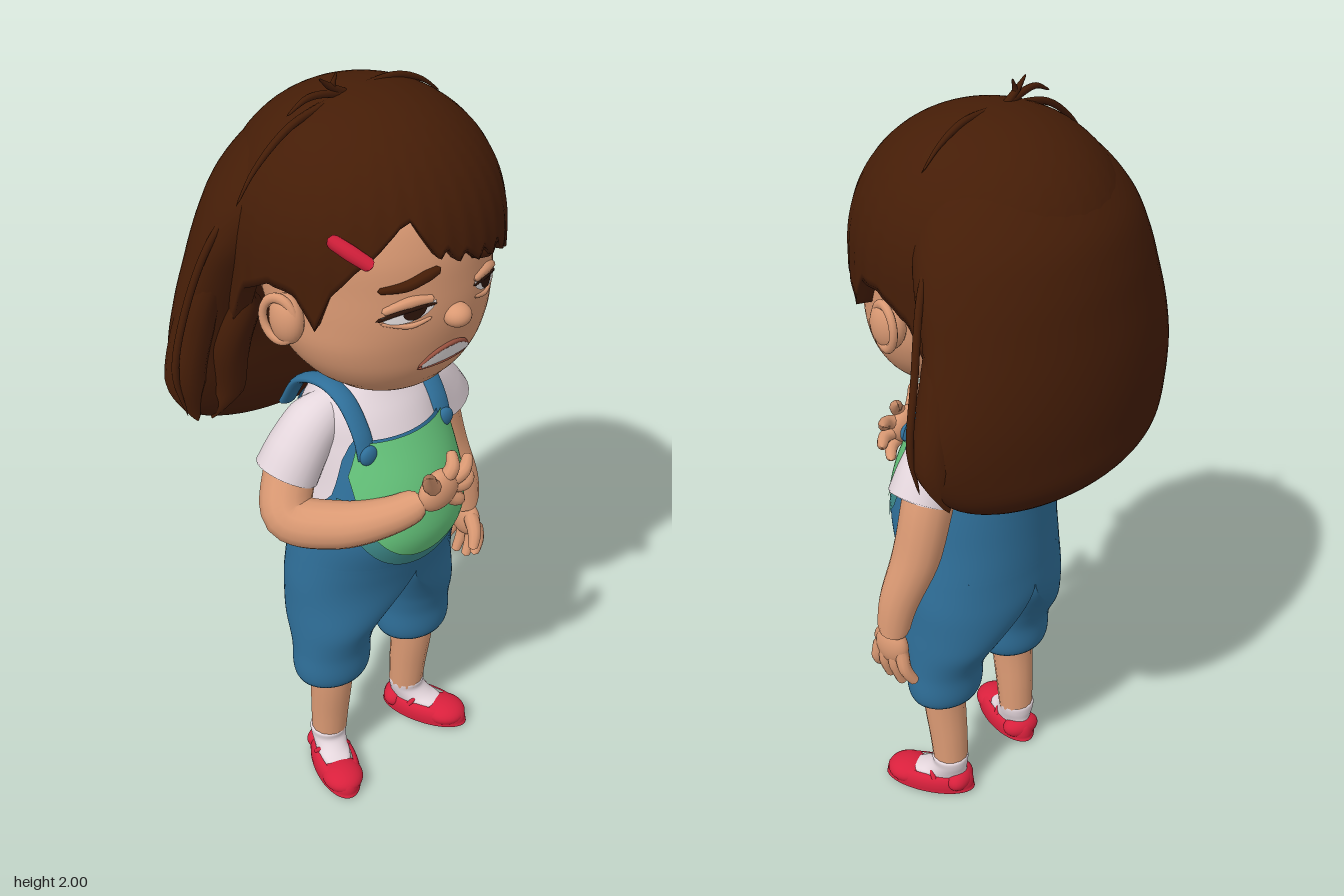
import * as THREE from 'three';
import { mergeVertices } from 'three/addons/utils/BufferGeometryUtils.js';

const mat = (name, color, side = THREE.FrontSide) => {
  const m = new THREE.MeshStandardMaterial({ color, side });
  m.name = name;
  return m;
};
const skin = mat('skin', 0xda9973), hair = mat('hair brown', 0x451d07, THREE.DoubleSide);
const denim = mat('denim blue', 0x2f6f99, THREE.DoubleSide), green = mat('bib green', 0x66c67c);
const trim = mat('bib trim teal', 0x3f8c8c), cloth = mat('shirt white', 0xe4d6dc, THREE.DoubleSide);
const red = mat('shoe red', 0xd8203c), white = mat('eye white', 0xf0eaea);
const dark = mat('dark brown', 0x2c140a), lip = mat('lip', 0x9a5240);
const { lerp, smoothstep } = THREE.MathUtils;

// Profile from sections [y, cx, cz, rx, rz], smoothly interpolated over y
function profile(sections) {
  const ys = sections.map(s => s[0]);
  const ip = new THREE.CubicInterpolant(ys, sections.flatMap(s => s.slice(1)), 4, new Float32Array(4));
  return y => ip.evaluate(Math.min(Math.max(y, ys[0]), ys[ys.length - 1]));
}

function grid(cols, rows, point) {
  const pos = [], idx = [];
  for (let j = 0; j <= rows; j++) for (let i = 0; i <= cols; i++) pos.push(...point(i / cols, j / rows));
  for (let j = 0; j < rows; j++) for (let i = 0; i < cols; i++) {
    const a = j * (cols + 1) + i, b = a + 1, c = a + cols + 1, d = c + 1;
    idx.push(a, b, d, a, d, c);
  }
  let g = new THREE.BufferGeometry();
  g.setAttribute('position', new THREE.Float32BufferAttribute(pos, 3));
  g.setIndex(idx);
  g = mergeVertices(g, 1e-5);
  g.computeVertexNormals();
  return g;
}

// Surface wrapped round a profile; yAt(angle, t) sets the height of each point
function shell(prof, yAt, off = () => 0, cols = 64, rows = 36) {
  return grid(cols, rows, (u, t) => {
    const a = (u * 2 - 1) * Math.PI, y = yAt(a, t), o = off(a, t);
    const [cx, cz, rx, rz] = prof(y);
    return [cx + (rx + o) * Math.sin(a), y, cz + (rz + o) * Math.cos(a)];
  });
}
// Closed form through elliptical sections; bend pushes the sides forward
function blob(sections, cols = 48, bend = 0) {
  const n = sections.length - 1;
  const ip = new THREE.CubicInterpolant(sections.map((s, i) => i), sections.flat(), 5, new Float32Array(5));
  return grid(cols, n * 5, (u, t) => {
    const [y, cx, cz, rx, rz] = ip.evaluate(t * n), a = (u * 2 - 1) * Math.PI;
    const x = cx + rx * Math.sin(a);
    return [x, y, cz + rz * Math.cos(a) + bend * x * x];
  });
}

// Thin plate lying on the front of a profile
const frontZ = (prof, x, y, o) => {
  const [, cz, rx, rz] = prof(y);
  return cz + (rz + o) * Math.sqrt(Math.max(0, 1 - (x / (rx + o)) ** 2));
};
const plate = (prof, x0, x1, lo, hi, o) => grid(32, 16, (u, t) => {
  const x = x0 + (x1 - x0) * u, y = lo(x) + (hi(x) - lo(x)) * t;
  return [x, y, frontZ(prof, x, y, o)];
});

// Tapered tube through points; cap 1 gives round ends, smaller is flatter
function sweep(points, radii, n = 24, sides = 14, cap = 1) {
  const curve = new THREE.CatmullRomCurve3(points.map(p => new THREE.Vector3(...p)));
  const g = new THREE.TubeGeometry(curve, n, 1, sides), pos = g.attributes.position;
  const len = curve.getLength(), v = new THREE.Vector3();
  for (let k = 0; k < pos.count; k++) {
    const u = Math.floor(k / (sides + 1)) / n, f = curve.getUtoTmapping(u) * (radii.length - 1);
    const i = Math.min(Math.floor(f), radii.length - 2);
    let r = lerp(radii[i], radii[i + 1], f - i);
    const d = Math.min(u, 1 - u) * len / cap;
    if (d < r) r *= Math.sqrt(Math.max(0, 1 - (1 - d / r) ** 2));
    const c = curve.getPointAt(u);
    v.fromBufferAttribute(pos, k).sub(c).multiplyScalar(r).add(c);
    pos.setXYZ(k, v.x, v.y, v.z);
  }
  return g;
}
const ball = (x, y, z, sx, sy, sz) => new THREE.SphereGeometry(1, 28, 18).scale(sx, sy, sz).translate(x, y, z);

// Piecewise-linear lookup in [x, y] pairs
function lookup(table, x) {
  const k = Math.max(1, table.findIndex(p => p[0] >= x));
  const [a, b] = [table[k - 1], table[k]];
  return lerp(a[1], b[1], (x - a[0]) / (b[0] - a[0]));
}

export function createModel() {
  const root = new THREE.Group();
  root.name = 'girl';
  const add = (name, geo, m, parent = root) => {
    const mesh = new THREE.Mesh(geo, m);
    mesh.name = name;
    parent.add(mesh);
    return mesh;
  };

  // Head and face
  const head = profile([[1.262, 0, .14, .001, .001], [1.275, 0, .135, .10, .08], [1.31, 0, .115, .178, .15],
    [1.36, 0, .10, .23, .2], [1.43, 0, .085, .264, .237], [1.5, 0, .07, .272, .265], [1.58, 0, .06, .275, .275],
    [1.68, 0, .04, .28, .285], [1.78, 0, .02, .25, .26], [1.88, 0, 0, .15, .16], [1.92, 0, 0, .001, .001]]);
  add('head', shell(head, (a, t) => 1.591 - .329 * Math.cos(Math.PI * t), undefined, 72, 56), skin);
  add('neck', sweep([[0, 1.14, .03], [0, 1.22, .045], [0, 1.34, .06]], [.085, .078, .08]), skin);
  add('nose', ball(0, 1.512, .34, .034, .028, .034), skin);
  const onFace = (pts, r, o = 0) => sweep(pts.map(([x, y]) => [x, y, frontZ(head, x, y, o)]), r, 20, 8);
  for (const s of [1, -1]) {
    const c = s * .115, q = x => Math.sqrt(Math.max(0, 1 - ((x - c) / .058) ** 2));
    const lid = x => 1.554 - .014 * (x - c) * s / .058;
    add('eye', plate(head, c - .057, c + .057, x => lid(x) - .028 * q(x), x => lid(x) + .002, .003), white);
    const i = s * .108, w = x => Math.sqrt(Math.max(0, 1 - ((x - i) / .026) ** 2));
    add('iris', plate(head, i - .0255, i + .0255, x => lid(x) - .024 * w(x), x => lid(x) + .002, .006), dark);
    add('lash', onFace([[s * .055, 1.56], [s * .115, 1.558], [s * .182, 1.532]], [.003, .006, .004], .003), dark);
    add('eyelid', onFace([[s * .06, 1.572], [s * .115, 1.574], [s * .17, 1.553]], [.009, .014, .009]), skin);
    add('lowerLid', onFace([[s * .065, 1.526], [s * .115, 1.514], [s * .172, 1.524]], [.004, .007, .004]), skin);
    add('eyebrow', onFace([[s * .045, 1.642], [s * .08, 1.632], [s * .125, 1.615], [s * .178, 1.606]],
      [.009, .014, .013, .007], .002), hair);
    add('ear', ball(s * .285, 1.5, .09, .034, .062, .048), skin);
    const rim = add('earRim', new THREE.TorusGeometry(.043, .01, 10, 28).scale(1, 1.25, 1), skin);
    rim.position.set(s * .303, 1.503, .085);
    rim.rotation.y = s * 1.25;
  }
  add('teeth', plate(head, -.073, .073, x => 1.386 - .004 * (x / .075) ** 2, x => 1.425 - .034 * (x / .075) ** 2, .006), white);
  add('upperLip', onFace([[-.08, 1.384], [-.045, 1.418], [0, 1.43], [.045, 1.418], [.08, 1.384]], [.003, .005, .006, .005, .003], .003), lip);
  add('lowerLip', onFace([[-.08, 1.379], [-.04, 1.381], [0, 1.382], [.04, 1.381], [.08, 1.379]], [.003, .004, .005, .004, .003], .002), lip);

  // Hair cap with a jagged fringe: [angle, lower edge height]
  const edge = [[-181, 1.3], [-110, 1.38], [-95, 1.55], [-80, 1.6], [-68, 1.59], [-60, 1.51], [-54, 1.6], [-45, 1.66],
    [-35, 1.71], [-27, 1.755], [-22, 1.765], [-17, 1.72], [-11, 1.67], [-8, 1.695], [-2, 1.65], [1, 1.675], [9, 1.635],
    [12, 1.66], [19, 1.62], [22, 1.65], [31, 1.6], [34, 1.625], [46, 1.56], [49, 1.58], [60, 1.52], [67, 1.6],
    [80, 1.6], [95, 1.55], [110, 1.38], [181, 1.3]];
  const capProfile = y => {
    const k = y < 1.62 ? 1 : Math.max(0, 1 - ((y - 1.62) / .335) ** 2.15) ** .475;
    return [0, .02, .33 * k, .336 * k];
  };
  const capRows = 30;
  add('hairCap', shell(capProfile, (a, t) => {
    const lo = lookup(edge, a * 180 / Math.PI), k = Math.max(0, (t - 1 / capRows) / (1 - 1 / capRows));
    return lo + (1.955 - lo) * Math.sin(k * Math.PI / 2);
  }, (a, t) => t === 0 ? -.04 : .0015 * Math.sin(a * 36) * (1 - t) ** 2, 240, capRows), hair);

  // Long hair at the back, side locks and loose strands
  add('backHair', blob([[1.065, 0, -.2, .001, .001], [1.072, 0, -.205, .16, .05], [1.1, 0, -.225, .28, .085],
    [1.16, 0, -.242, .385, .115], [1.25, 0, -.242, .432, .125], [1.35, 0, -.24, .432, .132], [1.45, 0, -.225, .41, .143],
    [1.55, 0, -.195, .385, .16], [1.65, 0, -.155, .36, .183], [1.75, 0, -.115, .315, .188], [1.85, 0, -.07, .23, .15],
    [1.915, 0, -.04, .1, .08], [1.925, 0, -.04, .001, .001]], 72, .45), hair);
  for (const s of [1, -1]) {
    add('sideLock', sweep([[s * .31, 1.62, -.1], [s * .375, 1.42, -.14], [s * .405, 1.27, -.15], [s * .37, 1.13, -.16]], [.03, .05, .05, .004]), hair);
    add('innerLock', sweep([[s * .27, 1.5, -.05], [s * .3, 1.35, -.11], [s * .3, 1.22, -.14], [s * .33, 1.12, -.16]], [.03, .05, .05, .004]), hair);
    add('looseStrand', sweep([[s * .28, 1.76, -.05], [s * .36, 1.65, -.08], [s * .42, 1.48, -.11], [s * .452, 1.32, -.12], [s * .425, 1.19, -.12]],
      [.006, .009, .009, .009, .002]), hair);
  }
  const tufts = [[[-.04, 1.94], [-.09, 1.97], [-.12, 1.995]], [[-.04, 1.94], [-.08, 1.965], [-.07, 1.998]],
    [[-.05, 1.945], [-.15, 1.96], [-.21, 1.935]], [[-.06, 1.94], [-.2, 1.91], [-.3, 1.84], [-.355, 1.77]],
    [[-.1, 1.925], [-.22, 1.87], [-.285, 1.78]], [[0, 1.945], [.1, 1.945], [.18, 1.915], [.24, 1.87]]];
  tufts.forEach(p => add('tuft', sweep(p.map(([x, y]) => [x, y, .015]), [.01, .008, .002], 20, 8), hair));
  add('hairClip', sweep([[-.268, 1.745, .215], [-.238, 1.715, .25], [-.202, 1.68, .285]], [.016, .018, .016]), red);

  // Shirt and overalls share one torso profile
  const body = profile([[.5, 0, .058, .243, .135], [.65, 0, .048, .242, .165], [.75, 0, .06, .233, .18], [.86, 0, .078, .22, .2],
    [.93, 0, .075, .21, .2], [1, 0, .065, .197, .194], [1.1, 0, .045, .184, .168], [1.17, 0, .04, .168, .135],
    [1.22, 0, .038, .13, .1], [1.26, 0, .042, .08, .07]]);
  add('shirt', shell(body, (a, t) => .88 + .38 * t), cloth);
  const armhole = [[-1, 1.13], [50, 1.13], [60, 1.08], [72, .98], [90, .935], [108, .97], [125, 1.08], [138, 1.13], [181, 1.13]];
  const waist = .77;
  add('overalls', shell(body, (a, t) => waist + (lookup(armhole, Math.abs(a) * 180 / Math.PI) - waist) * t, () => .008, 96, 40), denim);
  const arc = (x, r) => Math.sqrt(Math.max(0, 1 - (x / r) ** 2));
  add('bibTrim', plate(body, -.195, .195, x => .965 - .205 * arc(x, .2), x => .99 - .02 * arc(x, .2), .012), trim);
  add('bib', plate(body, -.172, .172, x => .985 - .185 * arc(x, .176),
    x => Math.abs(x) < .14 ? 1.128 : 1.128 - (Math.abs(x) - .14) * 2.5, .016), green);

  // Trouser legs morph from round hems into halves of the torso
  const legProfile = profile([[.345, .145, .065, .1, .085], [.36, .145, .065, .106, .092], [.45, .143, .063, .108, .102],
    [.55, .134, .053, .116, .14], [.65, .124, .048, .12, .166], [.8, .12, .062, .12, .18]]);
  for (const s of [1, -1]) {
    add('shortsLeg', grid(64, 40, (u, t) => {
      const a = (u * 2 - 1) * Math.PI, sn = Math.sin(a) * s, cs = Math.cos(a);
      const y = .345 + (waist - .345) * Math.max(0, (t - .025) / .975), k = smoothstep(y, .5, .71);
      const [cx, cz, rx, rz] = [...legProfile(y)], [, bz, bx, br] = body(y);
      const rim = t === 0 ? .6 : 1;
      const x = lerp(cx + rx * sn * rim, Math.max(0, (bx + .008) * sn), k);
      return [s * x, y, lerp(cz + rz * cs * rim, bz + (br + .008) * cs, k)];
    }), denim);

    // Straps
    const strap = sweep([[0, 1.08, .185], [0, 1.15, .16], [0, 1.215, .105], [0, 1.235, .035], [0, 1.2, -.06], [0, 1.1, -.125]],
      [.012, .012, .012, .012, .012, .012], 40);
    add('strap', strap.scale(2.2, 1, 1).translate(s * .125, 0, 0), denim);
    add('button', ball(s * .125, 1.1, .188, .026, .026, .014), denim);

    // Legs and feet
    add('leg', sweep([[s * .148, .42, .065], [s * .148, .3, .065], [s * .146, .18, .055], [s * .145, .06, .048]], [.06, .058, .052, .046]), skin);
    const foot = new THREE.Group();
    foot.name = 'foot';
    foot.position.set(s * .148, 0, .05);
    foot.rotation.y = s * .38;
    root.add(foot);
    add('sock', blob([[.02, 0, .04, .045, .09], [.052, 0, .035, .044, .085], [.068, 0, .015, .045, .062], [.09, 0, 0, .048, .05],
      [.112, 0, 0, .05, .05], [.116, 0, 0, .04, .04]], 32), cloth, foot);
    add('shoe', blob([[0, 0, .06, .001, .001], [.001, 0, .06, .053, .119], [.014, 0, .06, .06, .127], [.035, 0, .059, .059, .125],
      [.05, 0, .056, .052, .116], [.055, 0, .053, .042, .104]], 40), red, foot);
    add('toeCap', ball(0, .03, .122, .056, .034, .062), red, foot);
    add('heel', ball(0, .036, -.026, .054, .034, .037), red, foot);
    add('shoeStrap', sweep([[-.05, .045, .03], [-.036, .064, .042], [0, .07, .047], [.036, .064, .042], [.05, .045, .03]],
      [.007, .007, .007, .007, .007]), red, foot);

    // Sleeve with a flat cuff
    add('sleeve', sweep([[s * .11, 1.165, .035], [s * .17, 1.14, .037], [s * .222, 1.085, .037], [s * .264, 1.018, .035]],
      [.05, .07, .077, .082], 40, 24, .2), cloth);
  }

  // Left arm hanging
  add('leftArm', sweep([[.19, 1.14, .03], [.245, 1.02, .02], [.283, .88, .028], [.324, .74, .058], [.338, .63, .07]], [.065, .066, .062, .05, .038]), skin);
  add('leftPalm', ball(.337, .61, .072, .029, .055, .05), skin);
  [[.11, .128, .515], [.088, .095, .49], [.062, .055, .483], [.038, .01, .505]].forEach(([z, tz, y]) =>
    add('leftFinger', sweep([[.34, .61, z], [.343, .555, (z + tz) / 2], [.32, y, tz]], [.019, .017, .013], 16, 10), skin));
  add('leftThumb', sweep([[.33, .64, .095], [.316, .6, .13], [.297, .555, .146]], [.022, .019, .013], 16, 10), skin);

  // Right arm folded over the chest
  add('rightArm', sweep([[-.19, 1.14, .03], [-.25, 1.03, .04], [-.29, .945, .085], [-.215, .938, .19], [-.125, .968, .27], [-.05, 1.0, .31]],
    [.065, .066, .065, .06, .047, .038], 40), skin);
  const palm = add('rightPalm', ball(0, 0, 0, .062, .053, .032), skin);
  palm.position.set(-.012, 1.015, .315);
  palm.rotation.z = .3;
  [[0, 1.045, .04, 1.1], [.02, 1.03, .1, 1.06], [.025, 1.01, .108, 1.0], [.01, .99, .075, .945]].forEach(([x, y, tx, ty]) =>
    add('rightFinger', sweep([[x, y, .322], [(x + tx) / 2, (y + ty) / 2, .326], [tx, ty, .3]], [.02, .018, .013], 16, 10), skin));
  add('rightThumb', sweep([[-.03, 1.03, .32], [-.06, 1.065, .335], [-.078, 1.1, .35]], [.022, .02, .015], 16, 10), skin);
  return root;
}
